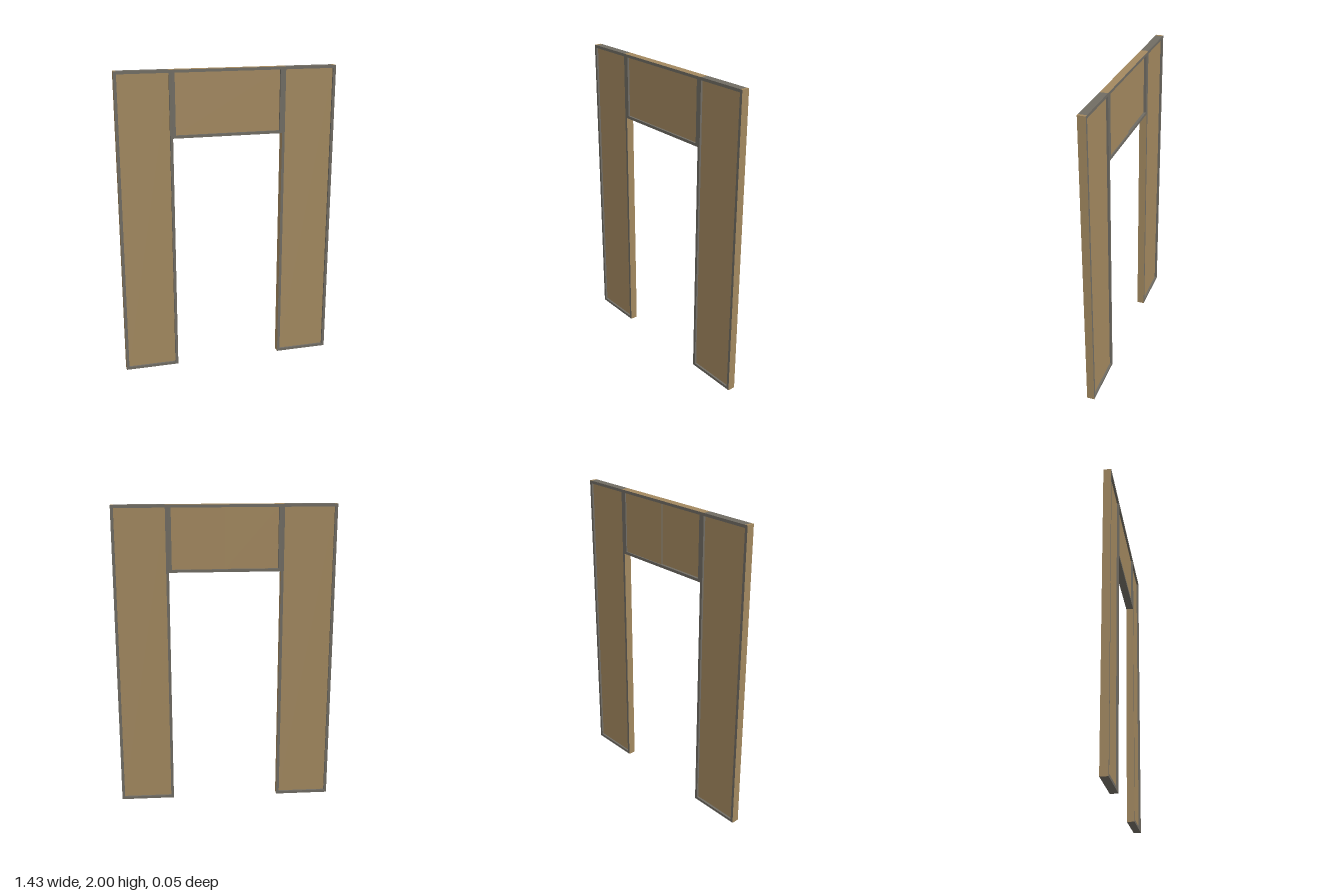
import * as THREE from 'three';

export function createModel() {
  const root = new THREE.Group();
  root.name = 'doorwayWallFrame';
  const wood = new THREE.MeshStandardMaterial({ color: 0xa2885f });
  wood.name = 'plywood';
  const grey = new THREE.MeshStandardMaterial({ color: 0x706c63 });
  grey.name = 'greyTrim';

  const D = 0.025;  // half depth of the frame
  const T = 0.018;  // width of the frame bars

  // Box between two corners, with one material or six (+x -x +y -y +z -z)
  function box(parent, name, x0, x1, y0, y1, z0, z1, material) {
    const mesh = new THREE.Mesh(new THREE.BoxGeometry(x1 - x0, y1 - y0, z1 - z0), material);
    mesh.position.set((x0 + x1) / 2, (y0 + y1) / 2, (z0 + z1) / 2);
    mesh.name = name;
    parent.add(mesh);
  }

  // Two tall side sections: stiles, rails and a recessed panel
  for (const [name, a, b] of [['rightSide', -0.713, -0.358], ['leftSide', 0.358, 0.713]]) {
    const side = new THREE.Group();
    side.name = name;
    root.add(side);
    box(side, 'stileRight', a, a + T, 0, 2, -D, D, [grey, wood, wood, grey, grey, grey]);
    box(side, 'stileLeft', b - T, b, 0, 2, -D, D, [wood, grey, wood, grey, grey, grey]);
    box(side, 'bottomRail', a + T, b - T, 0, T, -D, D, grey);
    box(side, 'topRail', a + T, b - T, 2 - T, 2, -D, D, grey);
    box(side, 'panel', a + T, b - T, T, 2 - T, -0.012, 0.012, wood);
  }

  // Header section bridging the opening
  const header = new THREE.Group();
  header.name = 'header';
  root.add(header);
  const w = 0.358, y0 = 1.575;
  const woodTop = [grey, grey, wood, grey, grey, grey];
  box(header, 'stileRight', -w, -w + T, y0, 2, -D, D, woodTop);
  box(header, 'stileLeft', w - T, w, y0, 2, -D, D, woodTop);
  box(header, 'topRail', -w + T, w - T, 2 - T, 2, -D, D, woodTop);
  box(header, 'bottomRail', -w + T, w - T, y0, y0 + T, -D, D, grey);

  // Header panel: one front sheet, two back sheets meeting in a small step
  box(header, 'frontPanel', -w + T, w - T, y0 + T, 2 - T, 0, 0.012, wood);
  box(header, 'backPanelRight', -w + T, 0, y0 + T, 2 - T, -0.008, 0, wood);
  box(header, 'backPanelLeft', 0, w - T, y0 + T, 2 - T, -0.017, 0, [wood, grey, wood, wood, wood, wood]);

  return root;
}
